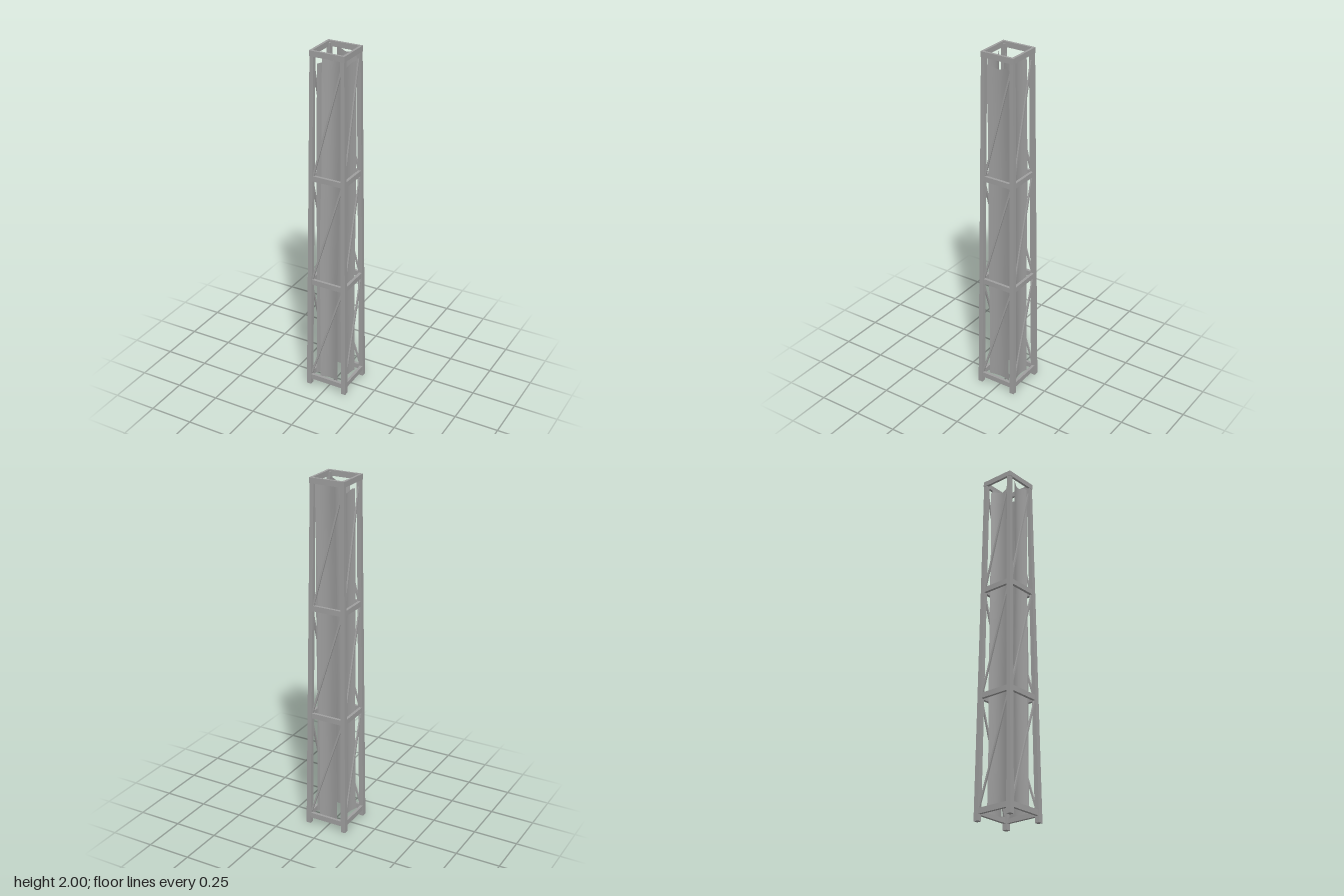
import * as THREE from 'three';

// Outer half sizes of the tapering tower at height y
const halfX = (y) => 0.125 - 0.0135 * y;
const halfZ = (y) => 0.121 - 0.0125 * y;

export function createModel() {
  const tower = new THREE.Group();
  tower.name = 'latticeTower';
  const grey = new THREE.MeshStandardMaterial({ color: 0x9e9e9e, side: THREE.DoubleSide });
  grey.name = 'weathered grey';

  const add = (parent, geo, name) => {
    const mesh = new THREE.Mesh(geo, grey);
    mesh.name = name;
    parent.add(mesh);
    return mesh;
  };

  // Four tapered corner legs
  for (const sx of [-1, 1]) for (const sz of [-1, 1]) {
    const geo = new THREE.BoxGeometry(1, 1, 1);
    const p = geo.attributes.position;
    for (let i = 0; i < p.count; i++) {
      const y = p.getY(i) > 0 ? 1.99 : 0;
      const w = 0.027 - 0.0025 * y;
      p.setXYZ(i, sx * (halfX(y) - w / 2) + p.getX(i) * w, y, sz * (halfZ(y) - w / 2) + p.getZ(i) * w);
    }
    geo.computeVertexNormals();
    add(tower, geo, 'cornerLeg');
  }

  // A straight bar between two points
  const bar = (parent, a, b, width, depth, name) => {
    const from = new THREE.Vector3(...a), to = new THREE.Vector3(...b);
    const mesh = add(parent, new THREE.BoxGeometry(width, from.distanceTo(to), depth), name);
    mesh.position.copy(from).add(to).multiplyScalar(0.5);
    mesh.quaternion.setFromUnitVectors(new THREE.Vector3(0, 1, 0), to.sub(from).normalize());
  };

  // Warped inner sheet: [left, right] edges and [left, middle, right] depths at foot and head
  const sheet = (parent, s) => {
    const geo = new THREE.PlaneGeometry(1, 1, 8, 24);
    const p = geo.attributes.position;
    const bend = (d, u) => u < 0.5
      ? THREE.MathUtils.lerp(d[0], d[1], Math.sin(u * Math.PI))
      : THREE.MathUtils.lerp(d[2], d[1], Math.sin(u * Math.PI));
    for (let i = 0; i < p.count; i++) {
      const u = p.getX(i) + 0.5, t = p.getY(i) + 0.5;
      const left = THREE.MathUtils.lerp(s.foot[0], s.head[0], t * t) + 0.003 * Math.sin(t * 11);
      const right = THREE.MathUtils.lerp(s.foot[1], s.head[1], t * t) + 0.003 * Math.sin(t * 9 + 2);
      const x = THREE.MathUtils.lerp(left, right, u);
      const y = THREE.MathUtils.lerp(0.05, s.top + 0.008 * Math.cos(u * 7), t);
      p.setXYZ(i, x, y, THREE.MathUtils.lerp(bend(s.footDepth, u), bend(s.headDepth, u), t));
    }
    geo.computeVertexNormals();
    add(parent, geo, 'warpedSheet');
  };

  // Front, left, back and right sides, each built facing +z
  const sides = [
    { name: 'frontSide', top: 1.96, foot: [-0.055, 0.055], head: [-0.033, 0.08],
      footDepth: [0.088, 0.074, 0.088], headDepth: [0.08, 0.06, 0.073] },
    { name: 'leftSide', top: 1.92, foot: [-0.07, 0.06], head: [-0.076, 0.066],
      footDepth: [0.084, 0.075, 0.086], headDepth: [0.076, 0.067, 0.083] },
    { name: 'backSide', top: 1.97, foot: [-0.055, 0.055], head: [-0.075, 0.045],
      footDepth: [0.09, 0.08, 0.09], headDepth: [0.083, 0.071, 0.083] },
    { name: 'rightSide', top: 1.92, foot: [-0.06, 0.07], head: [-0.055, 0.076],
      footDepth: [0.088, 0.072, 0.088], headDepth: [0.08, 0.056, 0.07] },
  ];
  const rails = [0.05, 0.675, 1.3, 1.985];

  sides.forEach((s, k) => {
    const side = new THREE.Group();
    side.name = s.name;
    side.rotation.y = k * Math.PI / 2;
    tower.add(side);
    const across = k % 2 ? halfZ : halfX;
    const out = k % 2 ? halfX : halfZ;

    rails.forEach((y, i) => {
      // Horizontal rail; the top one reaches over the legs
      const isTop = i === 3;
      const w = isTop ? across(2) + 0.002 : across(y) - 0.008;
      const depth = isTop ? 0.014 : 0.016;
      const z = out(y) - depth / 2 + (isTop ? 0.002 : -0.003);
      const rail = add(side, new THREE.BoxGeometry(w * 2, 0.03, depth), isTop ? 'topRail' : 'rail');
      rail.position.set(0, y, z);

      // Diagonal brace rising from left to right in each bay
      if (!isTop) {
        const y0 = y + 0.01, y1 = rails[i + 1] - (i === 2 ? 0.05 : 0.01);
        bar(side, [-across(y0) + 0.022, y0, out(y0) - 0.012],
          [across(y1) - 0.018, y1, out(y1) - 0.012], 0.01, 0.008, 'diagonalBrace');
      }
    });
    sheet(side, s);
  });

  return tower;
}
